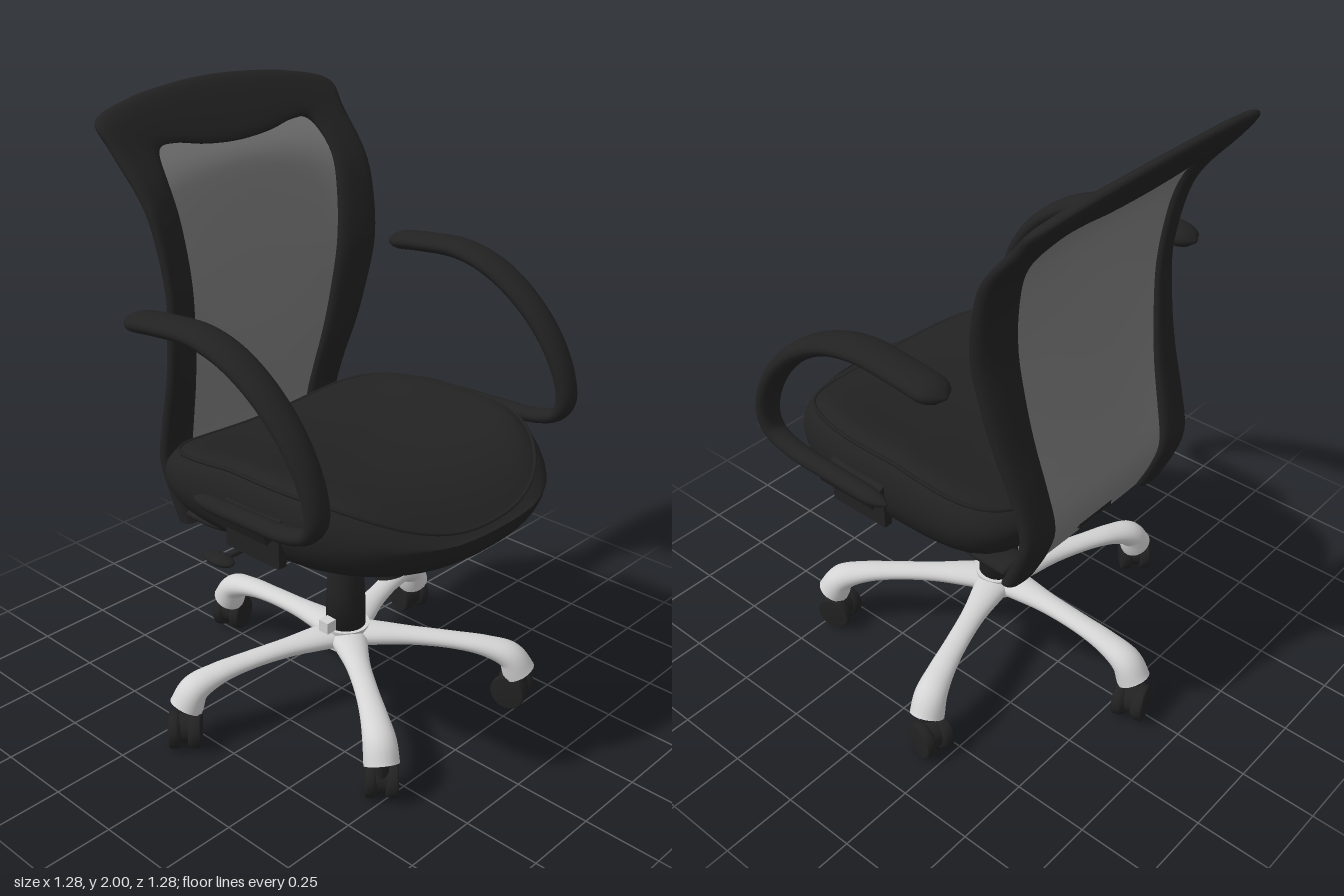
import * as THREE from 'three';

const material = (name, color, side = THREE.FrontSide) => {
  const m = new THREE.MeshStandardMaterial({ color, side });
  m.name = name;
  return m;
};
const V = (x, y, z) => new THREE.Vector3(x, y, z);
const clamp = THREE.MathUtils.clamp;

// Smooth lookup through [key, value] pairs with ascending keys
function lookup(pairs) {
  const pts = new THREE.SplineCurve(pairs.map(p => new THREE.Vector2(...p))).getPoints(160);
  return k => {
    let i = 1;
    while (i < pts.length - 1 && pts[i].x < k) i++;
    const a = pts[i - 1], b = pts[i];
    return a.y + (b.y - a.y) * clamp((k - a.x) / (b.x - a.x), 0, 1);
  };
}

// Closed skin over a list of rings, capped at both ends
function skin(rings) {
  const n = rings[0].length, pos = [], idx = [];
  rings.forEach(r => r.forEach(p => pos.push(p.x, p.y, p.z)));
  for (let i = 0; i < rings.length - 1; i++) for (let j = 0; j < n; j++) {
    const a = i * n + j, b = i * n + (j + 1) % n;
    idx.push(a, b, b + n, a, b + n, a + n);
  }
  [rings[0], rings[rings.length - 1]].forEach((r, end) => {
    const base = pos.length / 3, c = V(0, 0, 0);
    r.forEach(p => { pos.push(p.x, p.y, p.z); c.addScaledVector(p, 1 / n); });
    pos.push(c.x, c.y, c.z);
    for (let j = 0; j < n; j++) {
      const a = base + j, b = base + (j + 1) % n;
      end ? idx.push(a, b, base + n) : idx.push(b, a, base + n);
    }
  });
  // Keep the faces pointing outward
  let volume = 0;
  const at = i => V(pos[3 * i], pos[3 * i + 1], pos[3 * i + 2]);
  for (let i = 0; i < idx.length; i += 3) volume += at(idx[i]).dot(at(idx[i + 1]).cross(at(idx[i + 2])));
  if (volume < 0) idx.reverse();
  const g = new THREE.BufferGeometry();
  g.setAttribute('position', new THREE.Float32BufferAttribute(pos, 3));
  g.setIndex(idx);
  g.computeVertexNormals();
  return g;
}

// Elliptical sweep in the xy plane; stations are [x, y, z, halfWidth, halfHeight]
function sweep(stations, rounded, steps = 60, sides = 20) {
  const path = new THREE.CatmullRomCurve3(stations.map(s => V(s[0], s[1], s[2])));
  const size = new THREE.SplineCurve(stations.map(s => new THREE.Vector2(s[3], s[4])));
  const rings = [];
  for (let i = 0; i <= steps; i++) {
    const t = i / steps, p = path.getPoint(t), s = size.getPoint(t), tan = path.getTangent(t);
    const up = V(-tan.y, tan.x, 0).normalize();
    const d = 1 - Math.min(1, Math.min(t, 1 - t) / 0.04);
    const e = rounded ? Math.max(0.15, Math.sqrt(1 - d * d)) : 1;
    rings.push(Array.from({ length: sides }, (_, j) => {
      const a = j / sides * Math.PI * 2;
      return p.clone().addScaledVector(up, s.y * e * Math.sin(a)).add(V(0, 0, s.x * e * Math.cos(a)));
    }));
  }
  return skin(rings);
}

// Backrest surface: x at the middle and at the sides for each height
const backMiddle = lookup([[.66, -.345], [.77, -.4], [.87, -.425], [1, -.405], [1.1, -.39], [1.25, -.378],
  [1.45, -.375], [1.65, -.385], [1.77, -.41], [1.87, -.485], [2.01, -.59]]);
const backSide = lookup([[.66, -.34], [.77, -.39], [.87, -.415], [1, -.385], [1.15, -.335], [1.3, -.3],
  [1.45, -.28], [1.6, -.3], [1.72, -.345], [1.85, -.455], [1.94, -.525], [2.01, -.57]]);
function backX(y, z) {
  const w = .39 + .09 * clamp((y - .8) / 1.1, 0, 1);
  return backMiddle(y) + (backSide(y) - backMiddle(y)) * Math.min(1.1, (z / w) ** 2);
}

// Half outlines of the backrest frame as [z, y]
const outerHalf = [[.385, .66], [.39, .8], [.4, 1], [.42, 1.2], [.445, 1.45], [.465, 1.7], [.478, 1.85],
  [.478, 1.935], [.33, 1.975], [.17, 1.993]];
const innerHalf = [[.26, .66], [.26, .8], [.275, 1], [.295, 1.2], [.32, 1.45], [.335, 1.62], [.342, 1.75],
  [.315, 1.835], [.24, 1.843], [.13, 1.825]];
const outline = (half, top) => new THREE.SplineCurve(
  [...half, [0, top], ...half.map(([z, y]) => [-z, y]).reverse()].map(p => new THREE.Vector2(...p)));

function backFrame() {
  const outer = outline(outerHalf, 2), inner = outline(innerHalf, 1.817), rings = [];
  for (let i = 0; i <= 120; i++) {
    const o = outer.getPoint(i / 120), n = inner.getPoint(i / 120);
    rings.push(Array.from({ length: 20 }, (_, j) => {
      const a = j / 20 * Math.PI * 2, c = Math.cos(a), s = Math.sin(a);
      const p = o.clone().lerp(n, .5 - .5 * Math.sign(c) * Math.abs(c) ** .75);
      return V(backX(p.y, p.x) + .029 * Math.sign(s) * Math.abs(s) ** .75, p.y, p.x);
    }));
  }
  return skin(rings);
}

function backMesh() {
  const g = new THREE.PlaneGeometry(2, 1, 20, 48), p = g.attributes.position;
  const inner = lookup(innerHalf.slice(0, 7).map(([z, y]) => [y, z]));
  for (let i = 0; i < p.count; i++) {
    const y = .662 + (p.getY(i) + .5) * 1.19, z = -p.getX(i) * (inner(y) + .015);
    p.setXYZ(i, backX(y, z), y, z);
  }
  g.computeVertexNormals();
  return g;
}

// Seat cushion: rounded plan, rounder at the front, with a saddle-shaped top
function seatPoint(a, scale, h) {
  const c = Math.cos(a), s = Math.sin(a), n = c > 0 ? 2.4 : 2.4 + 2.6 * Math.min(1, -c * 3);
  const r = (Math.abs(c) ** n + Math.abs(s) ** n) ** (-1 / n) * scale;
  const x = .12 + .52 * r * c, z = .512 * r * s;
  const top = Math.max(0, (h - .86) / .11);
  return V(x, h + top * (.035 * (z / .42) ** 2 - .012 - Math.max(0, x - .3) ** 2 - .13 * Math.max(0, -x)), z);
}
const seatRing = (scale, h, n = 72) => Array.from({ length: n }, (_, j) => seatPoint(j / n * Math.PI * 2, scale, h));

export function createModel() {
  const black = material('black fabric and plastic', 0x222222);
  const grey = material('grey mesh', 0x7c7c7c, THREE.DoubleSide);
  const silver = material('silver metal', 0xd4d4d4);
  const root = new THREE.Group();
  root.name = 'officeChair';
  const add = (name, geometry, mat, x = 0, y = 0, z = 0, parent = root) => {
    const m = new THREE.Mesh(geometry, mat);
    m.name = name;
    m.position.set(x, y, z);
    parent.add(m);
    return m;
  };

  // Backrest
  add('backFrame', backFrame(), black);
  add('backMesh', backMesh(), grey);

  // Seat
  const profile = new THREE.SplineCurve([[.02, .73], [.6, .735], [.84, .752], [.95, .795], [1, .86], [.985, .92],
    [.92, .965], [.8, .985], [.5, .98], [.02, .972]].map(p => new THREE.Vector2(...p)));
  add('seatCushion', skin(profile.getPoints(45).map(p => seatRing(p.x, p.y))), black);
  add('seatPiping', new THREE.TubeGeometry(
    new THREE.CatmullRomCurve3(seatRing(.93, .962), true), 120, .006, 6, true), black);

  // Armrests, their brackets and the rails joining seat and back
  for (const s of [1, -1]) {
    const side = s > 0 ? 'left' : 'right';
    add(side + 'Armrest', sweep([[-.3, 1.41, .06], [-.15, 1.428, .06], [0, 1.435, .06], [.13, 1.405, .058],
      [.26, 1.33, .054], [.37, 1.22, .049], [.435, 1.1, .043], [.447, 1.02, .039], [.42, .97, .036],
      [.34, .94, .034], [.16, .93, .032], [-.05, .925, .03]]
      .map(([x, y, w], i) => [x, y, s * .57, w, i < 8 ? .031 : .024]), true, 90), black);
    add(side + 'ArmBracket', new THREE.BoxGeometry(.22, .035, .1), black, .13, .9, s * .52).rotation.x = s * .35;
    add(side + 'BracketPlate', new THREE.BoxGeometry(.22, .12, .03), black, .13, .83, s * .5);
    add(side + 'BackRail', sweep([[-.34, .69, s * .32, .055, .022], [-.2, .695, s * .32, .055, .022],
      [-.08, .72, s * .32, .05, .022]], true, 30), black);
  }

  // Tilt mechanism and tension knob
  add('mechanism', new THREE.BoxGeometry(.34, .06, .24), black, .06, .725, 0);
  add('backBar', new THREE.BoxGeometry(.36, .025, .16), black, -.2, .722, 0);
  const knob = new THREE.Group();
  knob.name = 'tensionKnob';
  knob.position.set(.155, .74, 0);
  knob.rotation.z = .27;
  root.add(knob);
  add('knobCore', new THREE.CylinderGeometry(.04, .04, .16, 20), black, 0, -.07, 0, knob);
  for (let i = 0; i < 7; i++)
    add('bellowsRib', new THREE.TorusGeometry(.043, .009, 6, 24).rotateX(Math.PI / 2), black, 0, -.02 - i * .019, 0, knob);
  add('knobCap', new THREE.CylinderGeometry(.056, .052, .075, 24), black, 0, -.18, 0, knob);

  // Height lever
  add('leverRod', new THREE.CylinderGeometry(.008, .008, .4, 10).rotateX(Math.PI / 2), black, .0, .712, .32);
  add('leverPaddle', new THREE.SphereGeometry(1, 20, 12).scale(.06, .016, .032), black, 0, .72, .53);

  // Gas column
  const cx = .018;
  add('gasPiston', new THREE.CylinderGeometry(.028, .028, .14, 24), black, cx, .68, 0);
  add('columnSleeve', new THREE.LatheGeometry([[.001, .27], [.067, .27], [.064, .4], [.056, .52], [.048, .525],
    [.046, .635], [.04, .64], [.001, .64]].map(p => new THREE.Vector2(...p)), 28), black, cx, 0, 0);
  add('smallBlock', new THREE.BoxGeometry(.04, .04, .04), silver, .03, .31, .1);

  // Five-star base with twin-wheel casters
  add('baseHub', new THREE.CylinderGeometry(.08, .07, .08, 28), silver, cx, .235, 0);
  const leg = sweep([[0, .235, 0, .07, .035], [.1, .238, 0, .055, .034], [.22, .238, 0, .04, .028],
    [.36, .232, 0, .038, .026], [.47, .217, 0, .044, .032], [.55, .185, 0, .053, .045],
    [.582, .128, 0, .056, .055]], false, 50);
  const wheel = new THREE.LatheGeometry([[.001, -.024], [.04, -.024], [.054, -.018], [.06, -.005], [.06, .014],
    [.055, .02], [.001, .02]].map(p => new THREE.Vector2(...p)), 24).rotateX(Math.PI / 2);
  const swivel = [1.9, 2.9, 3.4, 2.3, 5.5];
  for (let i = 0; i < 5; i++) {
    const a = Math.PI + i * Math.PI * .4;
    add('baseLeg', leg, silver, cx).rotation.y = -a;
    const caster = new THREE.Group();
    caster.name = 'caster';
    caster.position.set(cx + .585 * Math.cos(a), 0, .585 * Math.sin(a));
    caster.rotation.y = swivel[i];
    root.add(caster);
    add('casterStem', new THREE.CylinderGeometry(.022, .022, .09, 16), black, 0, .09, 0, caster);
    add('casterHood', new THREE.CylinderGeometry(.05, .05, .035, 20, 1).rotateX(Math.PI / 2), black, .022, .068, 0, caster);
    add('outerWheel', wheel, black, .025, .06, .032, caster);
    add('innerWheel', wheel, black, .025, .06, -.032, caster).rotation.y = Math.PI;
  }
  return root;
}
